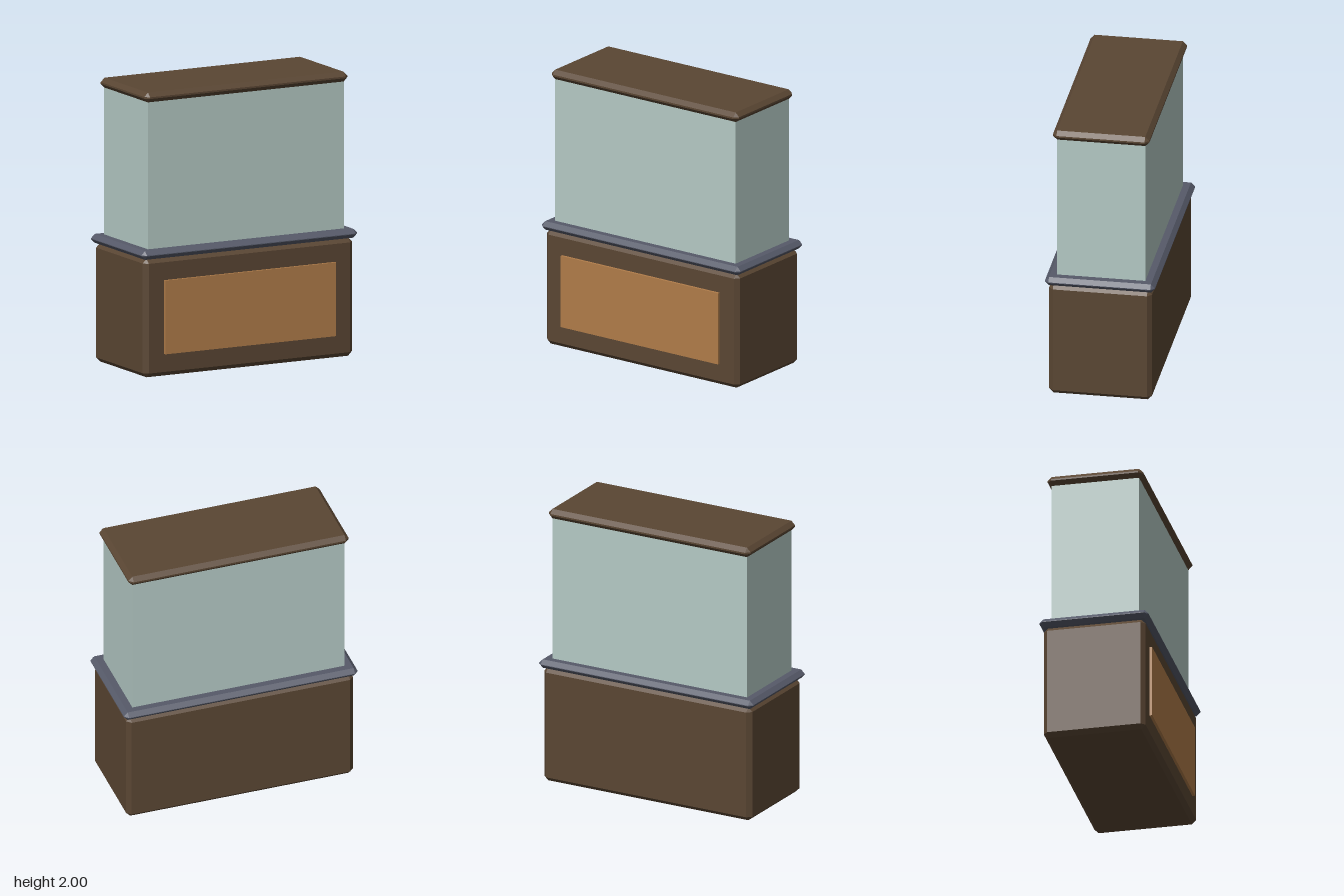
import * as THREE from 'three';
import { ConvexGeometry } from 'three/addons/geometries/ConvexGeometry.js';

const material = (name, color) => {
  const m = new THREE.MeshStandardMaterial({ color });
  m.name = name;
  return m;
};

// Box with every edge cut by one flat 45 degree chamfer
function chamferedBox(w, h, d, c) {
  const half = [w / 2, h / 2, d / 2];
  const points = [];
  for (const sx of [-1, 1]) for (const sy of [-1, 1]) for (const sz of [-1, 1]) {
    for (let axis = 0; axis < 3; axis++) {
      // Only the face's own axis reaches the full extent
      const p = [sx, sy, sz].map((s, i) => s * (half[i] - (i === axis ? 0 : c)));
      points.push(new THREE.Vector3(...p));
    }
  }
  return new ConvexGeometry(points);
}

export function createModel() {
  const model = new THREE.Group();
  model.name = 'aquariumOnCabinet';

  const wood = material('darkWood', 0x5a4633);
  const tan = material('tan', 0xb07c49);
  const slate = material('slate', 0x565a69);
  const glass = material('paleGlass', 0xb4c9c4);

  const add = (name, geometry, mat, y, z = 0) => {
    const mesh = new THREE.Mesh(geometry, mat);
    mesh.name = name;
    mesh.position.set(0, y, z);
    model.add(mesh);
  };

  // Cabinet with its front panel
  add('cabinet', chamferedBox(1.658, 0.835, 0.722, 0.031), wood, 0.4175);
  add('frontPanel', new THREE.BoxGeometry(1.352, 0.52, 0.03), tan, 0.418, 0.365);

  // Bevelled rim between the cabinet and the tank
  add('rim', chamferedBox(1.708, 0.062, 0.772, 0.0285), slate, 0.865);

  // Tank with a sand bed just inside the glass
  add('tank', new THREE.BoxGeometry(1.552, 1.06, 0.62), glass, 1.41);
  add('sandBed', new THREE.BoxGeometry(1.546, 0.06, 0.614), tan, 0.92);

  // Lid
  add('lid', chamferedBox(1.608, 0.07, 0.676, 0.029), wood, 1.965);

  return model;
}
